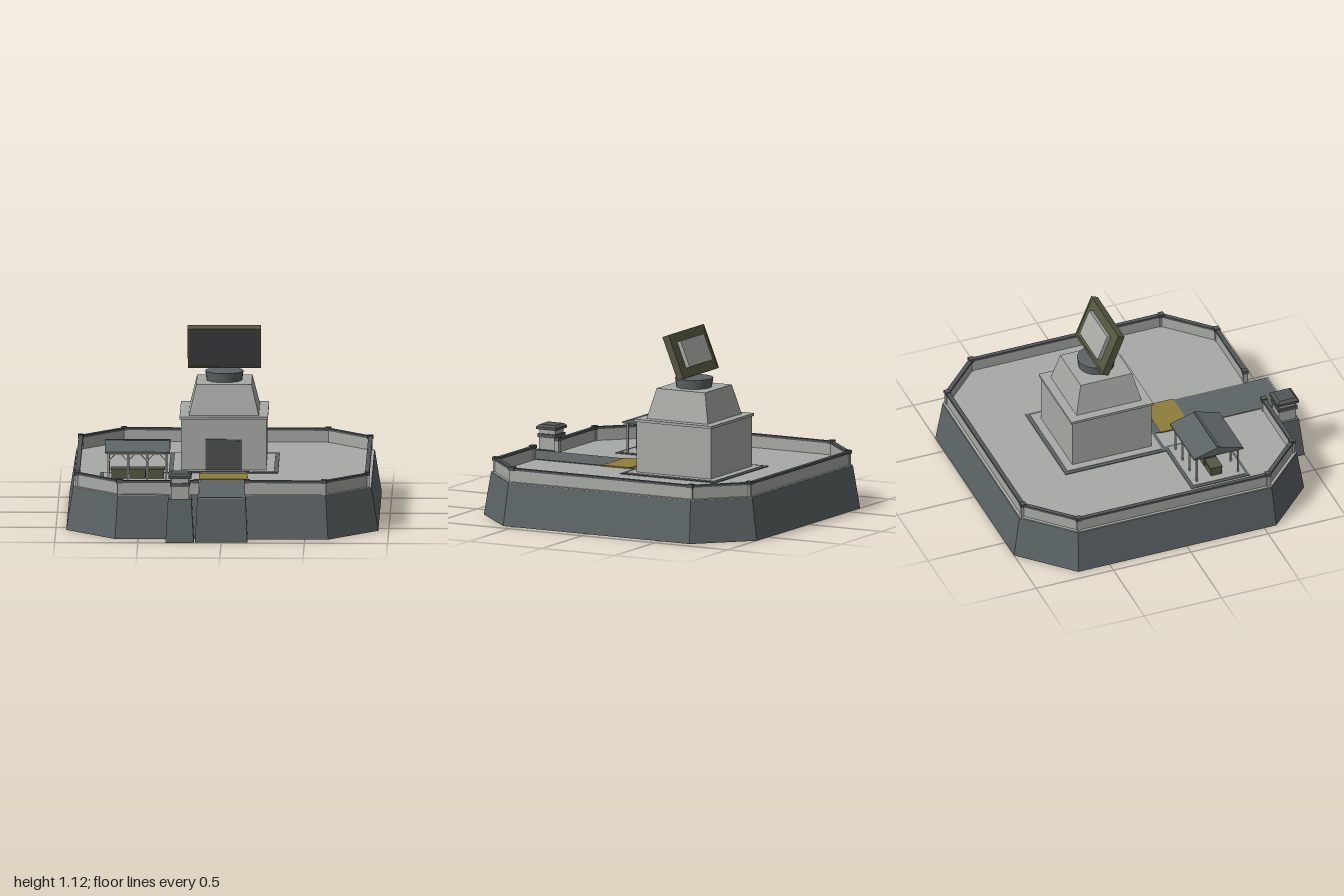
import * as THREE from 'three';

const mat = (name, color) => Object.assign(new THREE.MeshStandardMaterial({ color }), { name });
const concrete = mat('concrete', 0xa8aaa6);
const slate = mat('slate', 0x5c6466);
const darkGrey = mat('dark grey', 0x515658);
const panelGrey = mat('panel grey', 0x4c4f50);
const olive = mat('olive', 0x55573f);
const ochre = mat('ochre', 0x8f7d3a);

// Flat-shaded solid between two matching rings of [x, z] points
function loft(bottom, y0, top, y1) {
  const p = [], n = bottom.length;
  const B = i => [bottom[i % n][0], y0, bottom[i % n][1]];
  const T = i => [top[i % n][0], y1, top[i % n][1]];
  for (let i = 0; i < n; i++) {
    p.push(...B(i), ...B(i + 1), ...T(i + 1), ...B(i), ...T(i + 1), ...T(i));
    if (i > 0 && i < n - 1) p.push(...T(0), ...T(i), ...T(i + 1), ...B(0), ...B(i + 1), ...B(i));
  }
  const g = new THREE.BufferGeometry();
  g.setAttribute('position', new THREE.Float32BufferAttribute(p, 3));
  g.computeVertexNormals();
  return g;
}

const CZ = -0.0625; // centre of the platform
const octagon = (h, c) => [[h, c], [h, -c], [c, -h], [-c, -h], [-h, -c], [-h, c], [-c, h], [c, h]]
  .map(([x, z]) => [x, z + CZ]);
const rect = (x0, x1, z0, z1) => [[x1, z1], [x1, z0], [x0, z0], [x0, z1]];

function add(parent, name, geometry, material) {
  const m = new THREE.Mesh(geometry, material);
  m.name = name;
  parent.add(m);
  return m;
}
// Box given by its limits
function box(parent, name, material, x0, x1, y0, y1, z0, z1) {
  const m = add(parent, name, new THREE.BoxGeometry(x1 - x0, y1 - y0, z1 - z0), material);
  m.position.set((x0 + x1) / 2, (y0 + y1) / 2, (z0 + z1) / 2);
  return m;
}
function group(parent, name) {
  const g = new THREE.Group();
  g.name = name;
  parent.add(g);
  return g;
}

function buildPlatform(root) {
  const g = group(root, 'platform');
  add(g, 'platformBase', loft(octagon(0.9375, 0.64), 0, octagon(0.897, 0.625), 0.258), slate);
  add(g, 'platformFloor', loft(octagon(0.895, 0.624), 0.258, octagon(0.895, 0.624), 0.263), concrete);
  // Entrance block and gate pier foot
  add(g, 'entranceBlock', loft(rect(-0.157, 0.157, 0.7, 0.98), 0, rect(-0.145, 0.145, 0.7, 0.955), 0.26), slate);
  add(g, 'pierFoot', loft(rect(-0.335, -0.165, 0.7, 1), 0, rect(-0.32, -0.18, 0.82, 0.97), 0.262), slate);
  box(g, 'entranceFloor', concrete, -0.144, 0.144, 0.258, 0.263, 0.8, 0.954);
  box(g, 'path', slate, -0.138, 0.138, 0.26, 0.267, 0.11, 0.945);
  box(g, 'yellowMat', ochre, -0.145, 0.145, 0.26, 0.27, 0.145, 0.34);
}

function buildParapet(root) {
  const g = group(root, 'parapet');
  const ring = octagon(0.87, 0.613);
  const z = CZ + 0.87;
  const runs = [];
  for (let i = 0; i < 8; i++) if (i !== 6) runs.push([ring[i], ring[(i + 1) % 8]]);
  runs.push([ring[6], [-0.145, z]], [[0.145, z], ring[7]]);
  for (const [a, b] of runs) {
    const len = Math.hypot(b[0] - a[0], b[1] - a[1]);
    const run = group(g, 'wallRun');
    run.position.set((a[0] + b[0]) / 2, 0, (a[1] + b[1]) / 2);
    run.rotation.y = -Math.atan2(b[1] - a[1], b[0] - a[0]);
    box(run, 'wall', concrete, -len / 2, len / 2, 0.26, 0.335, -0.008, 0.008);
    box(run, 'wallCap', darkGrey, -len / 2, len / 2, 0.333, 0.347, -0.013, 0.013);
  }
  for (const [x, pz] of [...ring, [-0.152, z], [0.152, z]]) {
    box(g, 'wallPost', concrete, x - 0.013, x + 0.013, 0.26, 0.335, pz - 0.013, pz + 0.013);
    box(g, 'postCap', darkGrey, x - 0.017, x + 0.017, 0.331, 0.353, pz - 0.017, pz + 0.017);
  }
}

function buildPier(root) {
  const g = group(root, 'gatePier');
  const layer = (name, m, h, y0, y1) => box(g, name, m, -0.248 - h, -0.248 + h, y0, y1, 0.903 - h, 0.903 + h);
  layer('pierBody', concrete, 0.055, 0.26, 0.335);
  layer('pierBand', darkGrey, 0.061, 0.335, 0.358);
  layer('pierNeck', concrete, 0.052, 0.358, 0.387);
  layer('pierCap', darkGrey, 0.069, 0.385, 0.4);
  const sq = h => rect(-0.248 - h, -0.248 + h, 0.903 - h, 0.903 + h);
  add(g, 'pierTop', loft(sq(0.069), 0.4, sq(0.052), 0.414), darkGrey);
}

function buildTower(root) {
  const g = group(root, 'tower');
  const tz = -0.215;
  const sq = h => rect(-h, h, tz - h, tz + h);
  const block = (name, m, h0, y0, h1, y1) => add(g, name, loft(sq(h0), y0, sq(h1), y1), m);
  block('plinthEdge', slate, 0.328, 0.26, 0.328, 0.268);
  block('plinthTop', concrete, 0.305, 0.262, 0.305, 0.271);
  block('towerBody', concrete, 0.256, 0.262, 0.256, 0.578);
  block('towerLedge', concrete, 0.265, 0.578, 0.265, 0.594);
  block('towerUpper', concrete, 0.21, 0.594, 0.166, 0.775);
  // Door with frame
  box(g, 'doorFrame', darkGrey, -0.11, 0.11, 0.265, 0.457, 0.038, 0.049);
  box(g, 'door', panelGrey, -0.1, 0.1, 0.265, 0.447, 0.044, 0.052);
  // Turntable
  add(g, 'turntable', new THREE.CylinderGeometry(0.115, 0.107, 0.056, 24), slate).position.set(0, 0.803, tz);

  // Tilted radar panel, leaning toward the front
  const radar = group(g, 'radarPanel');
  radar.position.set(0, 0.98, -0.191);
  radar.rotation.x = 0.385;
  box(radar, 'panelBody', olive, -0.215, 0.215, -0.135, 0.135, -0.02, 0.014);
  box(radar, 'panelFace', panelGrey, -0.207, 0.207, -0.127, 0.127, 0.012, 0.018);
  for (const s of [-1, 1]) {
    box(radar, 'frameSide', olive, s * 0.213 - 0.007, s * 0.213 + 0.007, -0.139, 0.139, -0.022, 0.022);
    box(radar, 'frameRail', olive, -0.22, 0.22, s * 0.132 - 0.007, s * 0.132 + 0.007, -0.022, 0.022);
  }
  box(radar, 'backPlate', concrete, -0.145, 0.145, -0.083, 0.083, -0.045, -0.018);
}

function buildPavilion(root) {
  const g = group(root, 'pavilion');
  const cx = -0.512, cz = 0.296;
  g.position.set(cx, 0, cz);
  box(g, 'padEdge', slate, -0.228, 0.228, 0.26, 0.267, -0.188, 0.188);
  box(g, 'padTop', concrete, -0.208, 0.208, 0.262, 0.27, -0.168, 0.168);
  // Gabled roof
  const profile = new THREE.Shape([[-0.16, 0.444], [0.16, 0.444], [0.16, 0.453], [0, 0.5], [-0.16, 0.453]]
    .map(([x, y]) => new THREE.Vector2(x, y)));
  const roof = new THREE.ExtrudeGeometry(profile, { depth: 0.39, bevelEnabled: false });
  roof.translate(0, 0, -0.195).rotateY(Math.PI / 2);
  add(g, 'roof', roof, slate);
  box(g, 'ridge', darkGrey, -0.196, 0.196, 0.495, 0.503, -0.008, 0.008);
  // Posts, beams and braces on both long sides
  for (const z of [-0.133, 0.133]) {
    box(g, 'beam', concrete, -0.18, 0.18, 0.434, 0.446, z - 0.005, z + 0.005);
    for (let i = 0; i < 4; i++) {
      const x = -0.174 + i * 0.116;
      box(g, 'post', concrete, x - 0.005, x + 0.005, 0.265, 0.446, z - 0.005, z + 0.005);
      for (const s of [-1, 1]) {
        if ((i === 0 && s < 0) || (i === 3 && s > 0)) continue;
        const brace = add(g, 'brace', new THREE.BoxGeometry(0.005, 0.06, 0.005), concrete);
        brace.position.set(x + s * 0.021, 0.415, z);
        brace.rotation.z = -s * Math.PI / 4;
      }
    }
  }
  // Stored crates
  for (const x of [-0.11, 0, 0.11]) {
    box(g, 'crate', olive, x - 0.048, x + 0.048, 0.268, 0.318, -0.035, 0.035);
    box(g, 'crateLid', olive, x - 0.052, x + 0.052, 0.318, 0.328, -0.039, 0.039);
  }
}

export function createModel() {
  const root = new THREE.Group();
  root.name = 'radarStation';
  buildPlatform(root);
  buildParapet(root);
  buildPier(root);
  buildTower(root);
  buildPavilion(root);
  return root;
}
